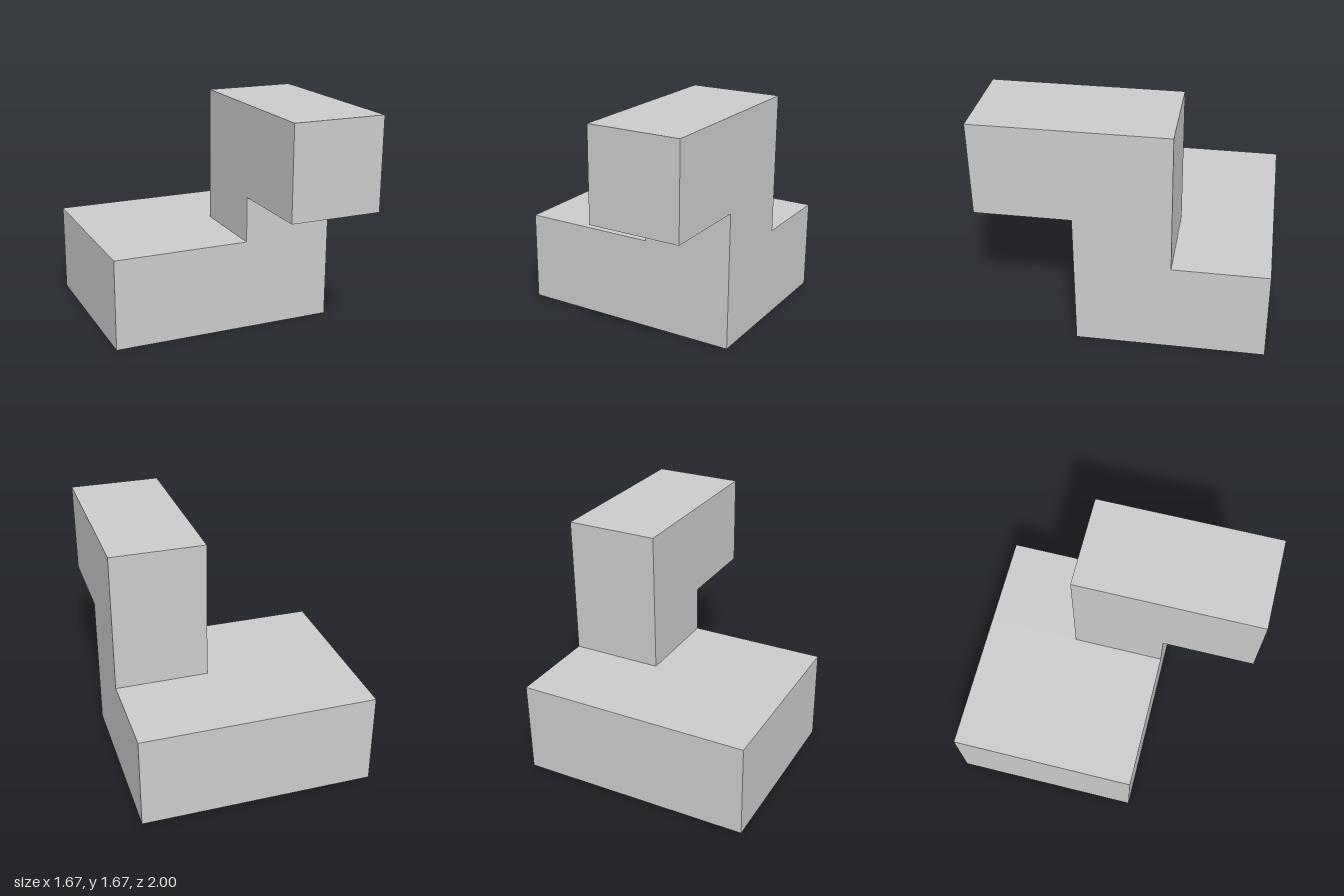
import * as THREE from 'three';

const U = 1 / 3; // grid module: every dimension is a multiple of a third

export function createModel() {
  const group = new THREE.Group();
  group.name = 'steppedBlock';
  const material = new THREE.MeshStandardMaterial({ color: 0xcccccc, flatShading: true });

  const add = (name, geometry, x, y, z) => {
    const mesh = new THREE.Mesh(geometry, material);
    mesh.name = name;
    mesh.position.set(x, y, z);
    group.add(mesh);
  };

  // Z-shaped side profile, drawn as (-z, y): foot at the back, overhanging head at the front
  const profile = [[-1, 0], [3, 0], [3, 2], [1, 2], [1, 5], [-3, 5], [-3, 3], [-1, 3]];
  const shape = new THREE.Shape(profile.map(([a, b]) => new THREE.Vector2(a * U, b * U)));
  const stepped = new THREE.ExtrudeGeometry(shape, { depth: 2 * U, bevelEnabled: false });
  stepped.rotateY(Math.PI / 2);
  add('steppedColumn', stepped, 0.5 * U, 0, 0);

  // Low slab continuing the foot to the right
  add('baseSlab', new THREE.BoxGeometry(3 * U, 2 * U, 4 * U), -U, U, -U);

  return group;
}
